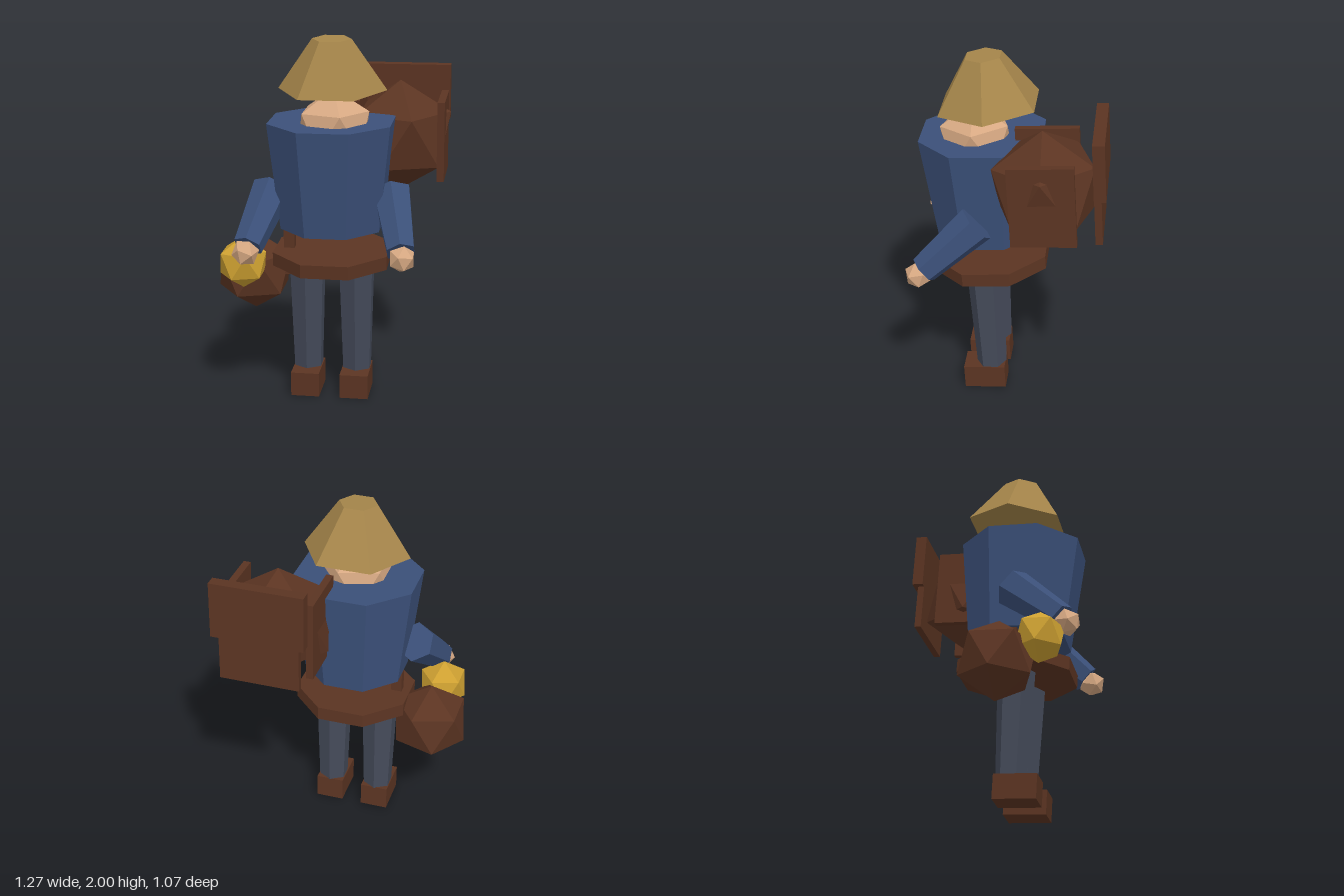
import * as THREE from 'three';

const TILT = 0.055; // whole figure leans slightly forward
const CX = 0.008; // mirror line of the body

function material(name, color) {
  const m = new THREE.MeshStandardMaterial({ color });
  m.name = name;
  return m;
}

// Faceted ball standing on a vertex, with one upper vertex toward +x
function gem(radius) {
  const g = new THREE.IcosahedronGeometry(radius, 0);
  g.rotateZ(-Math.atan2(2, 1 + Math.sqrt(5)));
  g.computeVertexNormals();
  return g;
}

// Low-poly tapered prism with hard facets
function prism(top, bottom, height, sides, turn = 0) {
  const g = new THREE.CylinderGeometry(top, bottom, height, sides, 1, false, turn).toNonIndexed();
  g.computeVertexNormals();
  return g;
}

export function createModel() {
  const model = new THREE.Group();
  model.name = 'traveller';

  const straw = material('straw', 0xa5854a);
  const skin = material('skin', 0xd6a882);
  const blue = material('blueCloth', 0x3b5079);
  const grey = material('greyTrousers', 0x444a59);
  const leather = material('brownLeather', 0x5b3422);
  const gold = material('gold', 0xcda031);

  function add(name, geometry, mat, x, y, z, tilt = TILT, parent = model) {
    const mesh = new THREE.Mesh(geometry, mat);
    mesh.name = name;
    mesh.position.set(x, y, z);
    mesh.rotation.x = tilt;
    parent.add(mesh);
    return mesh;
  }
  const box = (w, h, d) => new THREE.BoxGeometry(w, h, d);

  // Body
  add('torso', prism(0.36, 0.292, 0.59, 8, Math.PI / 8), blue, CX, 1.263, 0.138);
  add('belt', prism(0.34, 0.34, 0.075, 8, Math.PI / 8), leather, CX, 0.80, 0.107, 0.075);
  add('head', gem(0.215), skin, 0.025, 1.52, 0.187);
  add('hat', prism(0.107, 0.297, 0.275, 6, Math.PI / 6), straw, CX, 1.857, 0.133, 0.1);

  // Legs, boots and arms, mirrored
  for (const s of [1, -1]) {
    const side = s > 0 ? 'left' : 'right';
    add(side + 'Leg', prism(0.105, 0.085, 0.6, 6), grey, CX + s * 0.1375, 0.445, 0.113);
    add(side + 'Boot', box(0.158, 0.137, 0.235), leather, CX + s * 0.137, 0.077, 0.13, 0.06);

    const arm = new THREE.Group();
    arm.name = side + 'Arm';
    arm.position.set(CX + s * 0.37, 1.037, 0.29);
    arm.rotation.set(-0.83, 0, s * 0.21);
    add(side + 'Sleeve', prism(0.112, 0.082, 0.387, 6), blue, 0, 0, 0, 0, arm);
    add(side + 'Hand', gem(0.076), skin, 0, -0.235, 0, 0, arm);
    model.add(arm);
  }

  // Backpack: round sack, two side boards and a stepped back board
  add('packSack', gem(0.315), leather, 0.345, 1.42, -0.217, 0.07);
  for (const x of [0.115, 0.583]) {
    add('packSideBoard', box(0.04, 0.448, 0.343), leather, x, 1.421, -0.217, 0.06);
  }
  add('packUpperBackBoard', box(0.51, 0.315, 0.063), leather, 0.35, 1.632, -0.501, 0.06);
  add('packLowerBackBoard', box(0.44, 0.265, 0.038), leather, 0.35, 1.345, -0.505, 0.06);

  // Belongings hanging from the belt
  add('pouchStrap', box(0.06, 0.28, 0.05), leather, -0.23, 0.82, 0.127);
  add('beltPouch', gem(0.228), leather, -0.437, 0.688, 0.09);
  add('goldLantern', gem(0.145), gold, -0.455, 0.79, 0.32);

  return model;
}
